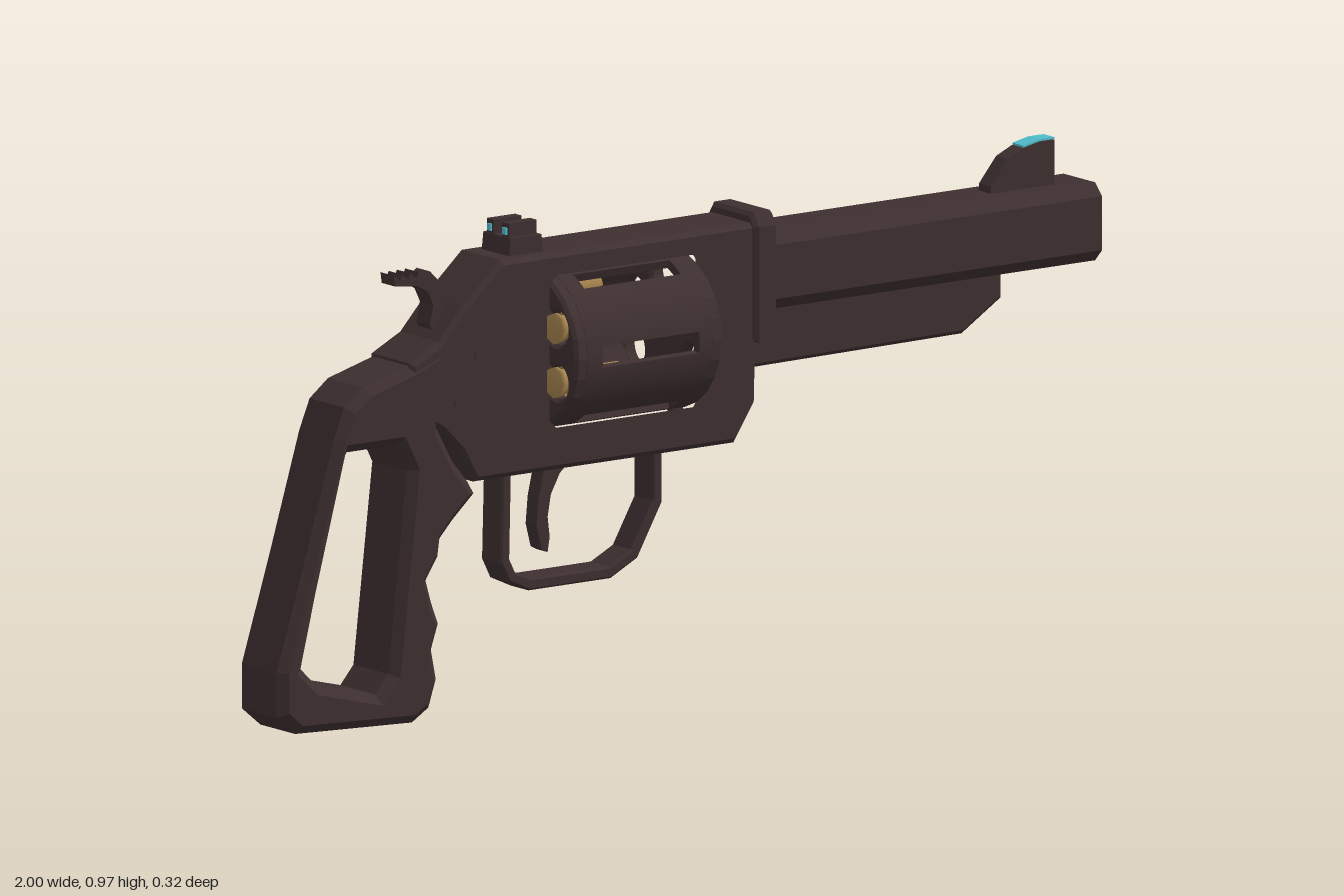
import * as THREE from 'three';

const mat = (name, color) => Object.assign(new THREE.MeshStandardMaterial({ color }), { name });

export function createModel() {
  const root = new THREE.Group();
  const steel = mat('dark brown steel', 0x3e2f30);
  const brass = mat('brass', 0xa5834e);
  const cyan = mat('cyan sight paint', 0x4fbccb);
  const green = mat('green inlay', 0x2c8069);

  const add = (name, geo, material = steel, parent = root) => {
    const m = new THREE.Mesh(geo, material);
    m.name = name;
    parent.add(m);
    return m;
  };
  const vecs = (pts) => pts.map(([x, y]) => new THREE.Vector2(x, y));
  // Side profile extruded from z0 to z1, bevel kept inside the outline
  const slab = (pts, z0, z1, bevel = 0, holes = []) => {
    const s = pts instanceof THREE.Shape ? pts : new THREE.Shape(vecs(pts));
    holes.forEach((h) => s.holes.push(new THREE.Path(vecs(h))));
    const g = new THREE.ExtrudeGeometry(s, {
      depth: z1 - z0 - 2 * bevel, bevelEnabled: bevel > 0, bevelThickness: bevel,
      bevelSize: bevel, bevelOffset: -bevel, bevelSegments: 1, curveSegments: 12,
    });
    return g.translate(0, 0, z0 + bevel);
  };
  // Cross-section (z, y) extruded along x
  const along = (shape, x0, x1, bevel = 0) => slab(shape, x0, x1, bevel).rotateY(Math.PI / 2);

  // Frame with a window for the cylinder
  add('frame', slab([
    [-0.46, 0.9], [0.17, 0.9], [0.16, 0.54], [0.11, 0.465], [-0.525, 0.465], [-0.56, 0.53],
    [-0.61, 0.58], [-0.69, 0.62], [-0.68, 0.72], [-0.61, 0.755], [-0.55, 0.82],
  ], -0.072, 0.072, 0.01, [[
    [-0.335, 0.865], [0.01, 0.865], [0.02, 0.85], [0.02, 0.555], [0.01, 0.54],
    [-0.335, 0.54], [-0.35, 0.56], [-0.35, 0.845],
  ]]));

  // Skeleton grip with finger grooves
  add('grip', slab([
    [-0.6, 0.74], [-0.68, 0.715], [-0.79, 0.685], [-0.835, 0.65], [-0.86, 0.59], [-0.93, 0.36],
    [-1, 0.14], [-1, 0.05], [-0.955, 0.012], [-0.67, 0], [-0.63, 0.025], [-0.612, 0.08],
    [-0.624, 0.14], [-0.607, 0.19], [-0.624, 0.235], [-0.637, 0.28], [-0.608, 0.325],
    [-0.603, 0.36], [-0.57, 0.395], [-0.52, 0.44], [-0.535, 0.465], [-0.572, 0.51], [-0.61, 0.58],
  ], -0.075, 0.075, 0.018, [[
    [-0.83, 0.56], [-0.71, 0.56], [-0.682, 0.505], [-0.728, 0.104], [-0.76, 0.067],
    [-0.905, 0.104], [-0.942, 0.14], [-0.845, 0.53],
  ]]));

  // Octagonal barrel with a bore
  const barrel = new THREE.Shape(vecs([
    [-0.052, 0.718], [0.052, 0.718], [0.075, 0.742], [0.075, 0.85],
    [0.052, 0.874], [-0.052, 0.874], [-0.075, 0.85], [-0.075, 0.742],
  ]));
  barrel.holes.push(new THREE.Path().absarc(0, 0.797, 0.05, 0, Math.PI * 2, true));
  add('barrel', along(barrel, 0.18, 1));
  add('bore', new THREE.CylinderGeometry(0.052, 0.052, 0.7, 24).rotateZ(Math.PI / 2).translate(0.55, 0.797, 0));
  add('underlug', slab([[0.14, 0.605], [0.68, 0.61], [0.775, 0.67], [0.775, 0.73], [0.14, 0.73]], -0.052, 0.052, 0.008));
  add('collar', along(new THREE.Shape(vecs([
    [-0.083, 0.66], [0.083, 0.66], [0.083, 0.893], [0.065, 0.92], [-0.065, 0.92], [-0.083, 0.893],
  ])), 0.15, 0.205, 0.008));

  // Sights
  add('frontSight', slab([
    [0.77, 0.86], [0.77, 0.888], [0.812, 0.938], [0.85, 0.955], [0.89, 0.963], [0.925, 0.963], [0.925, 0.86],
  ], -0.02, 0.02));
  add('frontSightPaint', slab([[0.85, 0.956], [0.89, 0.964], [0.926, 0.964], [0.926, 0.968], [0.889, 0.968], [0.85, 0.96]], -0.018, 0.018), cyan);
  add('rearSight', slab([[-0.425, 0.89], [-0.34, 0.89], [-0.345, 0.935], [-0.42, 0.935]], -0.045, 0.045));
  for (const s of [-1, 1]) {
    add('rearSightPost', new THREE.BoxGeometry(0.068, 0.03, 0.022).translate(-0.384, 0.948, s * 0.025));
    add('rearSightDot', new THREE.BoxGeometry(0.006, 0.014, 0.012).translate(-0.419, 0.947, s * 0.025), cyan);
  }

  // Hammer with a notched spur
  const spur = [[-0.685, 0.868]];
  for (let i = 0; i < 4; i++) spur.push([-0.688 + i * 0.02, 0.89], [-0.673 + i * 0.02, 0.878]);
  add('hammer', slab([
    ...spur, [-0.6, 0.888], [-0.58, 0.868], [-0.565, 0.82], [-0.53, 0.78], [-0.58, 0.74],
    [-0.6, 0.78], [-0.592, 0.82], [-0.605, 0.848], [-0.63, 0.862],
  ], -0.022, 0.022));

  // Trigger and guard
  add('triggerGuard', slab([
    [-0.43, 0.475], [-0.435, 0.285], [-0.415, 0.245], [-0.365, 0.222], [-0.165, 0.222],
    [-0.1, 0.255], [-0.04, 0.36], [-0.04, 0.475],
  ], -0.033, 0.033, 0.004, [[
    [-0.408, 0.46], [-0.412, 0.29], [-0.398, 0.262], [-0.36, 0.246], [-0.17, 0.246],
    [-0.116, 0.273], [-0.063, 0.365], [-0.063, 0.46],
  ]]));
  add('trigger', slab([
    [-0.315, 0.475], [-0.245, 0.475], [-0.28, 0.445], [-0.302, 0.405], [-0.31, 0.36], [-0.305, 0.32],
    [-0.31, 0.29], [-0.325, 0.298], [-0.337, 0.345], [-0.332, 0.4],
  ], -0.018, 0.018));

  // Hollow slotted cylinder
  const drum = new THREE.Group();
  drum.name = 'cylinder';
  drum.position.y = 0.7;
  root.add(drum);
  const R = 0.16, r = 0.142, chamber = 0.108, step = Math.PI / 3, gap = 0.135;
  const sector = (a, b) => {
    const s = new THREE.Shape().absarc(0, 0, R, a, b, false);
    s.absarc(0, 0, r, b, a, true);
    return s;
  };
  const plate = () => {
    const s = new THREE.Shape().absarc(0, 0, R, 0, Math.PI * 2, false);
    for (let i = 0; i < 6; i++) {
      const a = (i + 0.5) * step;
      s.holes.push(new THREE.Path().absarc(Math.cos(a) * chamber, Math.sin(a) * chamber, 0.034, 0, Math.PI * 2, true));
    }
    return s;
  };
  add('cylinderBack', along(plate(), -0.345, -0.31, 0.007), steel, drum);
  add('cylinderFront', along(plate(), -0.02, 0.015, 0.007), steel, drum);
  for (let i = 0; i < 6; i++) {
    const a = i * step, mid = a + step / 2;
    add('cylinderWall', along(sector(a + gap, a + step - gap), -0.318, -0.014), steel, drum);
    // Ends of each slot
    add('slotEnd', along(sector(a - gap, a + gap), -0.318, -0.28), steel, drum);
    add('slotEnd', along(sector(a - gap, a + gap), -0.045, -0.014), steel, drum);
    // Cartridge: rim, case and tapered nose
    const cartridge = new THREE.LatheGeometry(vecs([
      [0, 0], [0.031, 0], [0.031, 0.012], [0.025, 0.016], [0.025, 0.155], [0.014, 0.18], [0, 0.18],
    ]), 8).rotateZ(-Math.PI / 2);
    cartridge.translate(-0.352, Math.sin(mid) * chamber, -Math.cos(mid) * chamber);
    add('cartridge', cartridge, brass, drum);
  }

  // Oval inlay on the back side of the barrel
  const lens = (a, b) => {
    const s = new THREE.Shape().moveTo(-a, 0);
    s.bezierCurveTo(-a * 0.55, -b * 1.33, a * 0.55, -b * 1.33, a, 0);
    s.bezierCurveTo(a * 0.55, b * 1.33, -a * 0.55, b * 1.33, -a, 0);
    return s;
  };
  add('inlayHousing', slab([
    [0.18, 0.76], [0.27, 0.718], [0.57, 0.718], [0.66, 0.765], [0.66, 0.81],
    [0.57, 0.86], [0.27, 0.86], [0.18, 0.815],
  ], -0.106, -0.06, 0.018));
  add('inlayRim', slab(lens(0.172, 0.05), -0.109, -0.102).translate(0.42, 0.789, 0), brass);
  add('inlay', slab(lens(0.155, 0.042), -0.111, -0.104).translate(0.42, 0.789, 0), green);

  // Screws, pins and a small ring on the frame
  const pin = (x, y, z, rad) =>
    add('screw', new THREE.CylinderGeometry(rad, rad, 0.016, 12).rotateX(Math.PI / 2).translate(x, y, z));
  pin(-0.43, 0.525, -0.076, 0.019);
  pin(0.07, 0.52, -0.076, 0.015);
  for (const s of [-1, 1]) {
    pin(-0.57, 0.63, s * 0.068, 0.009);
    pin(-0.52, 0.72, s * 0.068, 0.009);
  }
  add('ring', new THREE.TorusGeometry(0.012, 0.004, 6, 14).translate(0.068, 0.461, -0.07));
  return root;
}
